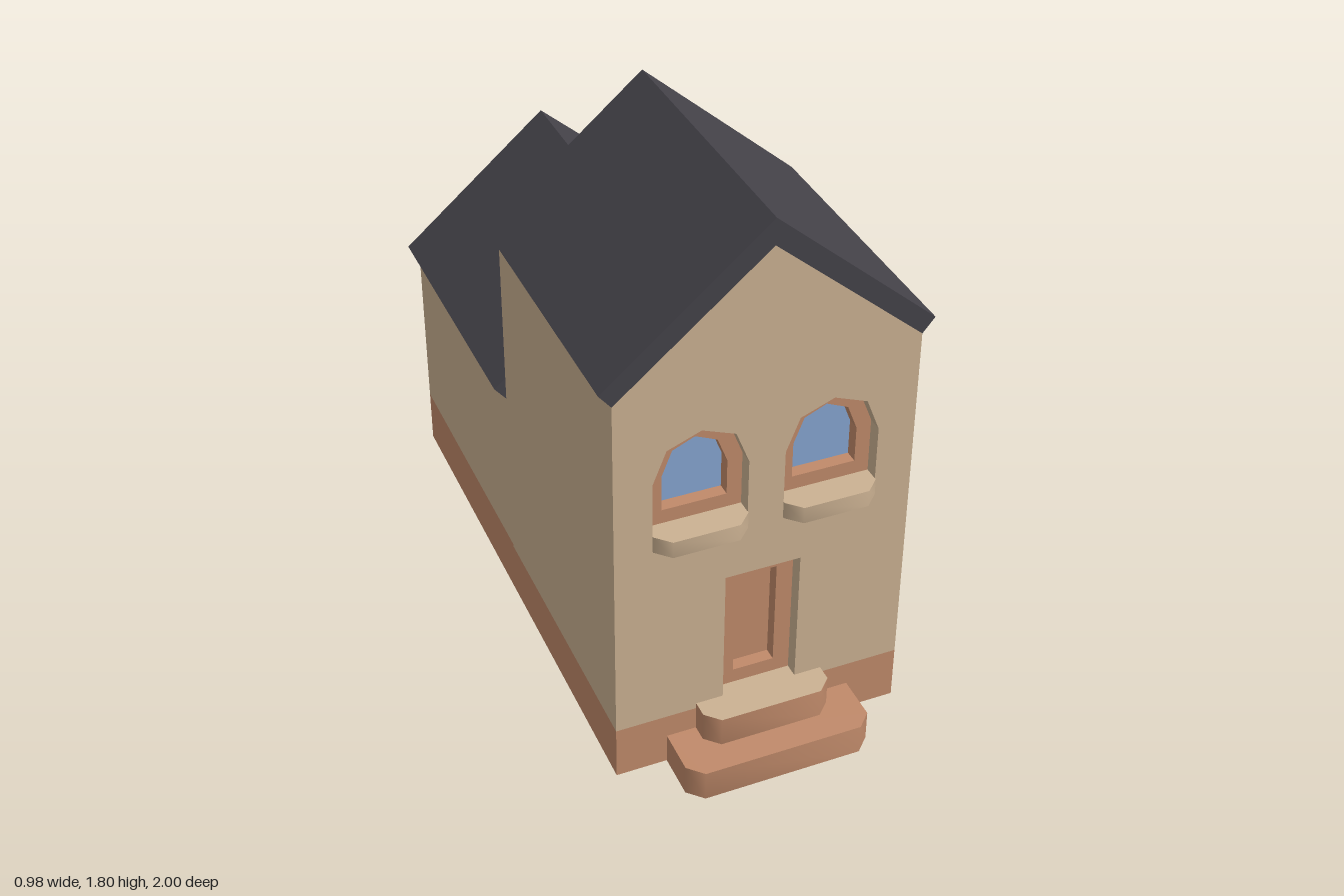
import * as THREE from 'three';
import { toCreasedNormals } from 'three/addons/utils/BufferGeometryUtils.js';

const material = (name, color) => {
  const m = new THREE.MeshStandardMaterial({ color });
  m.name = name;
  return m;
};

const polygon = (points) => new THREE.Shape(points.map(([x, y]) => new THREE.Vector2(x, y)));

export function createModel() {
  const plaster = material('tan plaster', 0xcbb192);
  const clay = material('terracotta', 0xc08a6a);
  const slate = material('dark slate', 0x444249);
  const glass = material('blue glass', 0x86a5d0);

  const house = new THREE.Group();
  house.name = 'house';

  const add = (name, geometry, mat) => {
    const mesh = new THREE.Mesh(geometry, mat);
    mesh.name = name;
    house.add(mesh);
    return mesh;
  };

  // Extrude an outline in x, y from z = back to z = front
  const slab = (name, points, back, front, mat, holes = []) => {
    const shape = polygon(points);
    holes.forEach((h) => shape.holes.push(polygon(h)));
    const geo = new THREE.ExtrudeGeometry(shape, { depth: front - back, bevelEnabled: false });
    geo.translate(0, 0, back);
    return add(name, geo, mat);
  };

  const FRONT = 0.815, REVEAL = 0.77, PANE = 0.725, MIDDLE = -0.09, BACK = -1;
  const W = 0.455;

  const rect = (x0, x1, y0, y1) => [[x0, y0], [x1, y0], [x1, y1], [x0, y1]];
  const gable = (base, eave) => [[-W, base], [W, base], [W, eave], [0, eave + 0.385], [-W, eave]];

  // Arched outline made of five straight segments
  const arch = (cx, w, y0, spring, kneeX, kneeY, top) => [
    [cx - w, y0], [cx + w, y0], [cx + w, spring], [cx + kneeX, kneeY],
    [cx, top], [cx - kneeX, kneeY], [cx - w, spring],
  ];
  const windowOuter = (cx) => arch(cx, 0.143, 0.87, 1.045, 0.102, 1.15, 1.19);
  const windowInner = (cx) => arch(cx, 0.098, 0.915, 1.03, 0.067, 1.11, 1.14);
  const doorOuter = rect(-0.117, 0.117, 0.195, 0.65);
  const doorInner = rect(-0.065, 0.065, 0.243, 0.6);
  const windowX = [-0.198, 0.198];

  // Walls, with openings cut through the front slab
  slab('facade', gable(0.178, 1.335), PANE, FRONT, plaster, [...windowX.map(windowOuter), doorOuter]);
  slab('frontBlockWalls', gable(0.178, 1.335), MIDDLE, PANE, plaster);
  slab('rearBlockWalls', gable(0.187, 0.767), BACK, MIDDLE, plaster);
  slab('frontPlinth', rect(-W, W, 0, 0.178), MIDDLE, FRONT, clay);
  slab('rearPlinth', rect(-W, W, 0, 0.187), BACK, MIDDLE, clay);

  // Pitched roofs
  const roof = (name, eave, back, front) => slab(name, [
    [0, eave + 0.467], [-0.492, eave + 0.045], [-W, eave],
    [0, eave + 0.385], [W, eave], [0.492, eave + 0.045],
  ], back, front, slate);
  roof('frontRoof', 1.335, MIDDLE, FRONT);
  roof('rearRoof', 0.767, BACK, MIDDLE);

  // Ledge with chamfered front corners, softly shaded around them
  const ledge = (name, cx, w, bottom, top, front, chamfer, mat) => {
    const shape = polygon([
      [cx - w, FRONT], [cx + w, FRONT], [cx + w, front - chamfer],
      [cx + w - chamfer, front], [cx - w + chamfer, front], [cx - w, front - chamfer],
    ]);
    const geo = new THREE.ExtrudeGeometry(shape, { depth: top - bottom, bevelEnabled: false });
    geo.rotateX(Math.PI / 2).translate(0, top, 0);
    return add(name, toCreasedNormals(geo, 0.9), mat);
  };

  // Windows: recessed frame, deeper pane, projecting sill
  windowX.forEach((cx) => {
    const side = cx > 0 ? 'left' : 'right';
    slab(side + 'WindowFrame', windowOuter(cx), PANE, REVEAL, clay, [windowInner(cx)]);
    slab(side + 'WindowPane', windowInner(cx), PANE, PANE + 0.005, glass);
    ledge(side + 'WindowSill', cx, 0.143, 0.818, 0.872, 0.863, 0.042, plaster);
  });

  // Door: recessed frame and deeper panel
  slab('doorFrame', doorOuter, PANE, REVEAL, clay, [doorInner]);
  slab('doorPanel', doorInner, PANE, PANE + 0.005, clay);

  // Steps: the upper one has a plaster-coloured tread
  ledge('lowerStep', 0, 0.295, 0, 0.1, 1, 0.045, clay);
  ledge('upperStep', 0, 0.202, 0.1, 0.197, 0.908, 0.042, [plaster, clay]);

  return house;
}
